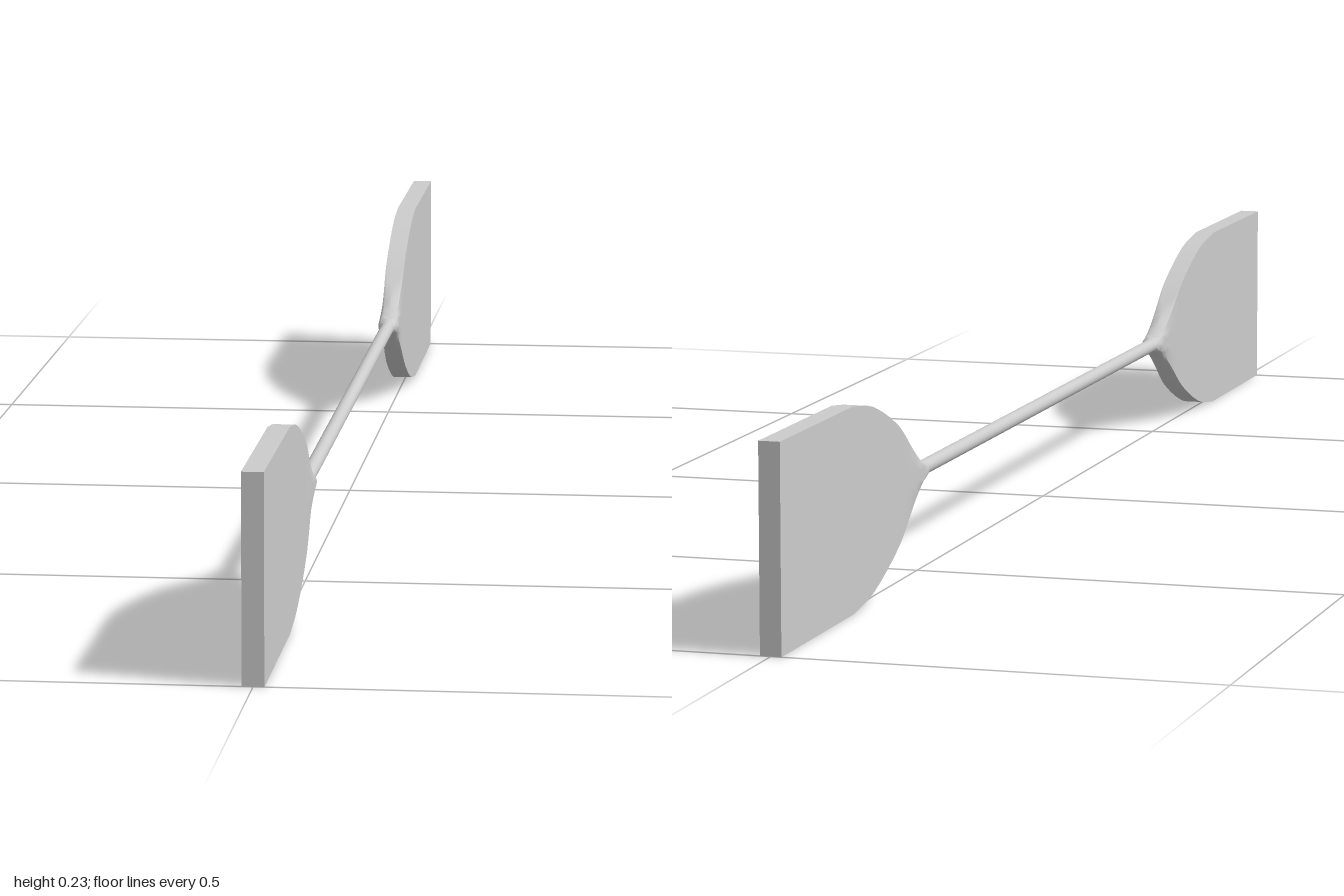
import * as THREE from 'three';
import { toCreasedNormals } from 'three/addons/utils/BufferGeometryUtils.js';

const CENTRE_Y = 0.115;
const SIDE = 8; // segments per side of the blade cross-section

// Half thickness, half height and z along the flaring neck
const neck = new THREE.CatmullRomCurve3([
  [0.0085, 0.0085, 0.48], [0.0125, 0.0105, 0.492], [0.0135, 0.0145, 0.505],
  [0.0125, 0.04, 0.55], [0.012, 0.068, 0.6], [0.012, 0.09, 0.65],
  [0.012, 0.106, 0.7], [0.012, 0.115, 0.76],
].map((p) => new THREE.Vector3(...p)));

// Cross-section that turns from an ellipse (square = 0) into a rectangle (square = 1)
function section(w, h, z, square) {
  const ring = [];
  for (let j = 0; j < SIDE * 4; j++) {
    const side = Math.floor(j / SIDE);
    const s = (j % SIDE) / SIDE * 2 - 1;
    const [rx, ry] = [[1, s], [-s, 1], [-1, -s], [s, -1]][side];
    const a = (j / (SIDE * 4)) * Math.PI * 2 - Math.PI / 4;
    ring.push([
      w * THREE.MathUtils.lerp(Math.cos(a), rx, square),
      h * THREE.MathUtils.lerp(Math.sin(a), ry, square), z]);
  }
  return ring;
}

// Blade lofted from the round neck to the flat rectangular tip
function bladeGeometry() {
  const rings = neck.getPoints(40).map((p) =>
    section(p.x, p.y, p.z, THREE.MathUtils.smoothstep(p.z, 0.485, 0.6)));
  rings.push(section(0.012, 0.115, 1, 1));
  const n = SIDE * 4;
  const pos = rings.flat(2);
  const index = [];
  for (let i = 0; i < rings.length - 1; i++) {
    for (let j = 0; j < n; j++) {
      const a = i * n + j, b = i * n + (j + 1) % n;
      index.push(a, b, b + n, a, b + n, a + n);
    }
  }
  // End caps
  const last = (rings.length - 1) * n;
  const c0 = pos.length / 3;
  pos.push(0, 0, rings[0][0][2], 0, 0, 1);
  for (let j = 0; j < n; j++) {
    const k = (j + 1) % n;
    index.push(c0, k, j, c0 + 1, last + j, last + k);
  }
  const g = new THREE.BufferGeometry();
  g.setAttribute('position', new THREE.Float32BufferAttribute(pos, 3));
  g.setIndex(index);
  return toCreasedNormals(g, 0.6);
}

export function createModel() {
  const group = new THREE.Group();
  group.name = 'doublePaddle';
  const material = new THREE.MeshStandardMaterial({ color: 0xcccccc });

  // Round shaft
  const shaft = new THREE.Mesh(new THREE.CylinderGeometry(0.0085, 0.0085, 0.98, 32), material);
  shaft.name = 'shaft';
  shaft.rotation.x = Math.PI / 2;
  shaft.position.y = CENTRE_Y;
  group.add(shaft);

  // Matching blades at both ends
  const geometry = bladeGeometry();
  for (const [name, turn] of [['frontBlade', 0], ['backBlade', Math.PI]]) {
    const blade = new THREE.Mesh(geometry, material);
    blade.name = name;
    blade.rotation.y = turn;
    blade.position.y = CENTRE_Y;
    group.add(blade);
  }
  return group;
}
